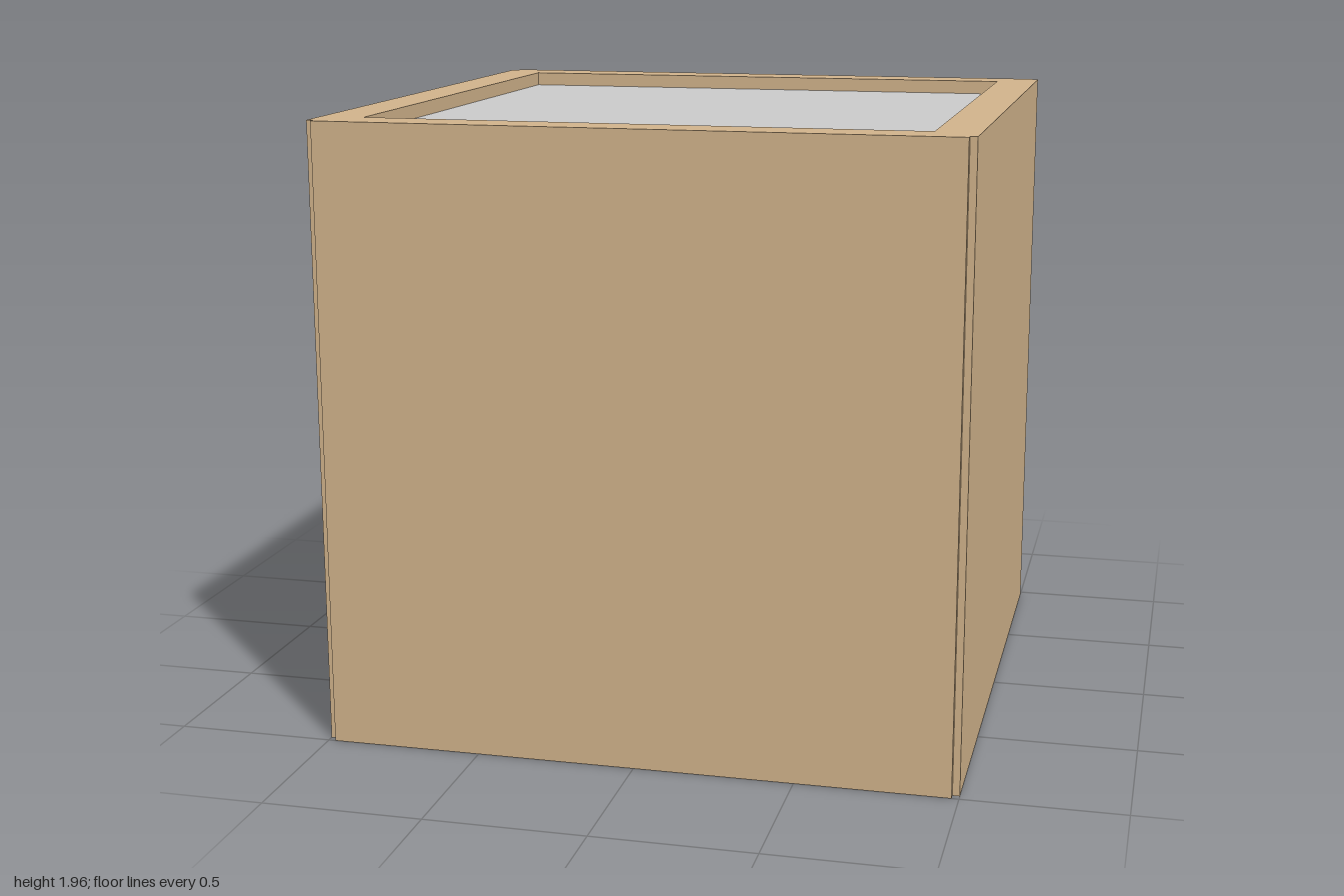
import * as THREE from 'three';

const HEIGHT = 1.96;
const HALF = 1;        // half of the outer width
const NOTCH = 0.022;   // square rebate along each vertical corner
const OPENING = 0.864; // half of the inner width
const RECESS = 0.045;  // how far the core sits inside the rims

export function createModel() {
  const model = new THREE.Group();
  model.name = 'planterBox';

  const wood = new THREE.MeshStandardMaterial({ color: 0xd2b48c });
  const grey = new THREE.MeshStandardMaterial({ color: 0xcccccc });

  // Square outline with a small rebate cut out of every corner
  const inner = HALF - NOTCH;
  const corner = [[HALF, inner], [inner, inner], [inner, HALF]];
  const outline = [];
  for (let i = 0; i < 4; i++) {
    const c = Math.round(Math.cos(i * Math.PI / 2));
    const s = Math.round(Math.sin(i * Math.PI / 2));
    for (const [x, y] of corner) outline.push(new THREE.Vector2(c * x - s * y, s * x + c * y));
  }
  const section = new THREE.Shape(outline);
  const o = OPENING;
  section.holes.push(new THREE.Path([
    new THREE.Vector2(-o, -o), new THREE.Vector2(-o, o),
    new THREE.Vector2(o, o), new THREE.Vector2(o, -o),
  ]));

  // Four walls, open at top and bottom
  const wallGeometry = new THREE.ExtrudeGeometry(section, { depth: HEIGHT, bevelEnabled: false });
  wallGeometry.rotateX(-Math.PI / 2);
  const walls = new THREE.Mesh(wallGeometry, wood);
  walls.name = 'walls';
  model.add(walls);

  // Core filling the box, recessed below the top rim and above the bottom rim
  const core = new THREE.Mesh(
    new THREE.BoxGeometry(2 * o, HEIGHT - 2 * RECESS, 2 * o), grey);
  core.position.y = HEIGHT / 2;
  core.name = 'core';
  model.add(core);

  return model;
}
